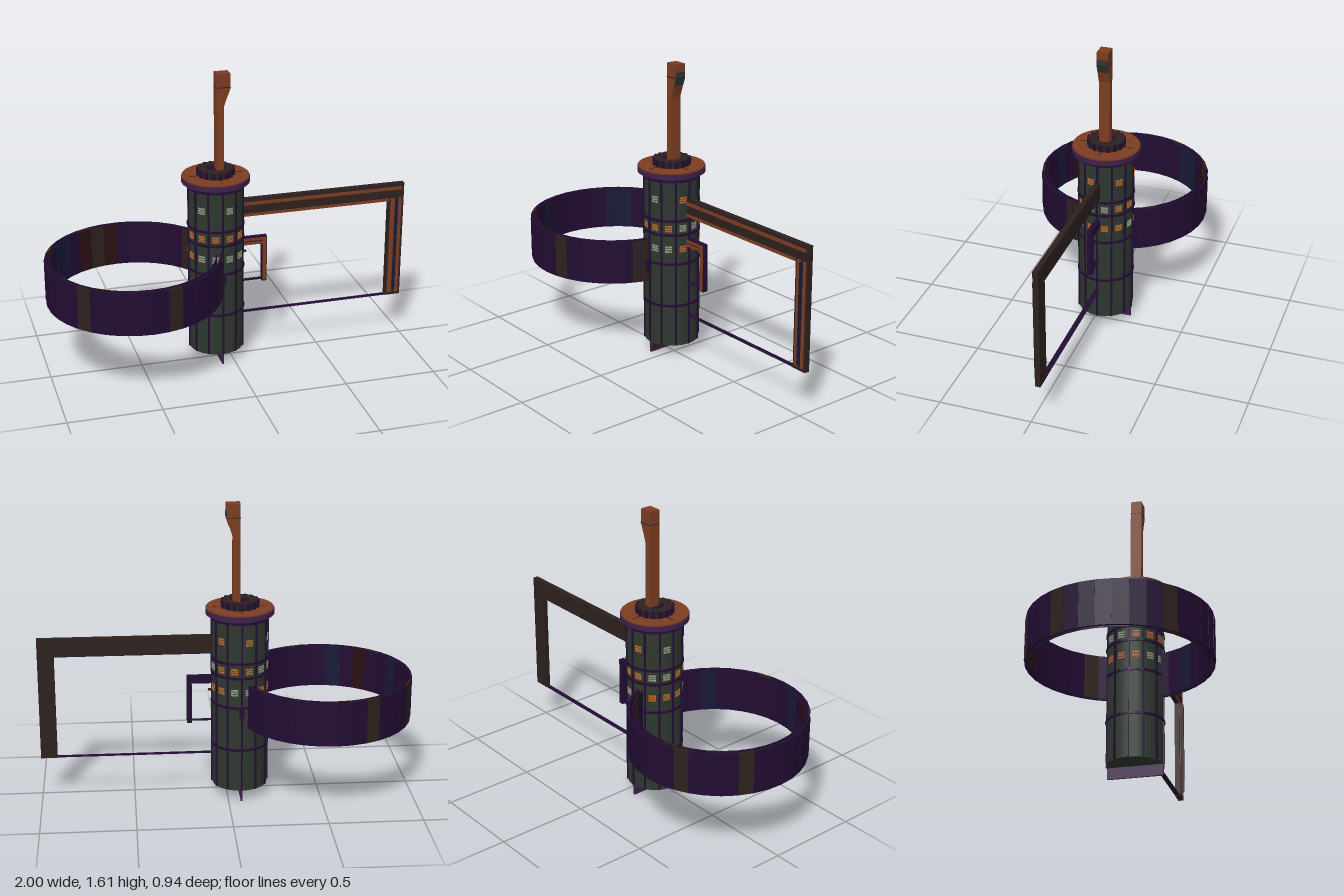
import * as THREE from 'three';

const mat = (name, color) => {
  const m = new THREE.MeshStandardMaterial({ color });
  m.name = name;
  return m;
};

export function createModel() {
  const M = {
    green: mat('hull green', 0x2d372e),
    purple: mat('dark purple', 0x220c32),
    violet: mat('violet', 0x40204c),
    rust: mat('rust orange', 0x7b3c20),
    brown: mat('dark brown', 0x2d211e),
    navy: mat('navy', 0x181a38),
    maroon: mat('maroon', 0x2a0f12),
    cream: mat('pale window', 0x8c977c),
    amber: mat('amber window', 0xb5652c),
  };
  const root = new THREE.Group();
  root.name = 'station';
  const CX = -0.07, CZ = -0.04, R = 0.148;

  const add = (name, geo, m, parent = root, x = 0, y = 0, z = 0) => {
    const mesh = new THREE.Mesh(geo, m);
    mesh.name = name;
    mesh.position.set(x, y, z);
    parent.add(mesh);
    return mesh;
  };
  const group = (name, x = 0, y = 0, z = 0, parent = root) => {
    const g = new THREE.Group();
    g.name = name;
    g.position.set(x, y, z);
    parent.add(g);
    return g;
  };
  // Box given by its extents
  const slab = (name, m, parent, x0, x1, y0, y1, z0, z1) =>
    add(name, new THREE.BoxGeometry(x1 - x0, y1 - y0, z1 - z0), m, parent,
      (x0 + x1) / 2, (y0 + y1) / 2, (z0 + z1) / 2);
  // Tube wall with a rectangular section
  const wall = (r0, r1, y0, y1, seg, start = 0, len = Math.PI * 2) => {
    const p = [[r1, y0], [r1, y1], [r0, y1], [r0, y0], [r1, y0]].map(a => new THREE.Vector2(...a));
    const g = new THREE.LatheGeometry(p, seg, start, len).toNonIndexed();
    g.computeVertexNormals();
    return g;
  };

  // Central tower
  const tower = group('tower', CX, 0, CZ);
  add('towerHull', new THREE.CylinderGeometry(R, R, 0.96, 24), M.green, tower, 0, 0.54, 0);
  for (let i = 0; i < 12; i++) {
    const a = i * Math.PI / 6;
    const rib = add('towerRib', new THREE.BoxGeometry(0.009, 0.955, 0.012), M.purple, tower,
      Math.sin(a) * R, 0.54, Math.cos(a) * R);
    rib.rotation.y = a;
  }
  for (const y of [0.295, 0.535, 0.7, 0.78, 1.0])
    add('towerBand', wall(R - 0.005, R + 0.007, y - 0.006, y + 0.006, 24), M.purple, tower);

  // Slatted windows, three slats each, between the ribs
  const windowRows = [
    [0.895, 'c-a-a-a-c-c-'],
    [0.737, 'aaccaaaccaaa'],
    [0.62, 'ccaaaccaaacc'],
  ];
  for (const [y, pattern] of windowRows)
    for (let i = 0; i < 12; i++) {
      if (pattern[i] === '-') continue;
      const a = (i + 0.5) * Math.PI / 6;
      const win = group('window', Math.sin(a) * R, y, Math.cos(a) * R, tower);
      win.rotation.y = a;
      for (const dy of [-0.013, 0, 0.013])
        add('windowSlat', new THREE.BoxGeometry(0.038, 0.008, 0.006),
          pattern[i] === 'a' ? M.amber : M.cream, win, 0, dy, 0);
    }

  // Top flange with rust deck and toothed collar
  add('flange', new THREE.CylinderGeometry(0.182, 0.182, 0.028, 40), M.violet, tower, 0, 1.034, 0);
  add('flangeDeck', new THREE.CylinderGeometry(0.179, 0.179, 0.008, 40), M.rust, tower, 0, 1.05, 0);
  for (let i = 0; i < 4; i++) {
    const a = i * Math.PI / 2;
    const seam = add('deckSeam', new THREE.BoxGeometry(0.004, 0.006, 0.05), M.brown, tower,
      Math.sin(a) * 0.12, 1.053, Math.cos(a) * 0.12);
    seam.rotation.y = a;
  }
  add('collar', wall(0.05, 0.095, 1.05, 1.092, 24), M.brown, tower);
  add('collarCore', new THREE.CylinderGeometry(0.052, 0.052, 0.03, 24), M.purple, tower, 0, 1.067, 0);
  for (let i = 0; i < 16; i++) {
    const a = i * Math.PI / 8;
    const tooth = add('collarTooth', new THREE.BoxGeometry(0.018, 0.036, 0.014), M.purple, tower,
      Math.sin(a) * 0.095, 1.074, Math.cos(a) * 0.095);
    tooth.rotation.y = a;
  }

  // Mast with a flared head
  const outline = new THREE.Shape([[-0.07, 1.06], [-0.032, 1.06], [-0.032, 1.43], [0.003, 1.535],
    [0.003, 1.61], [-0.07, 1.61]].map(a => new THREE.Vector2(...a)));
  add('mast', new THREE.ExtrudeGeometry(outline, { depth: 0.06, bevelEnabled: false }), M.rust, root, 0, 0, CZ - 0.03);
  slab('mastHeadPanel', M.green, root, 0.001, 0.005, 1.538, 1.568, CZ - 0.03, CZ + 0.03);
  const chin = add('mastChinPanel', new THREE.BoxGeometry(0.004, 0.042, 0.06), M.green, root, -0.0037, 1.515, CZ);
  chin.rotation.z = -Math.atan2(0.035, 0.105);
  slab('mastHeadSeam', M.navy, root, -0.071, 0.005, 1.534, 1.538, CZ - 0.031, CZ + 0.031);

  // Keel fin under the tower
  slab('keel', M.violet, root, CX - 0.005, CX + 0.005, 0, 0.065, -0.187, 0.108);
  slab('keelPanel', M.brown, root, CX + 0.004, CX + 0.007, 0.012, 0.055, -0.035, 0.1);

  // Panelled habitat ring: outer wall, open gap, thin inner wall
  const ring = group('habitatRing', -0.531, 0, 0);
  const N = 36, step = Math.PI * 2 / N;
  const outerColours = { 1: 'brown', 20: 'brown', 24: 'brown', 31: 'brown' };
  const innerColours = { 5: 'navy', 12: 'brown', 18: 'maroon', 19: 'brown', 20: 'maroon', 22: 'navy',
    23: 'navy', 29: 'navy', 32: 'maroon', 34: 'navy' };
  for (let i = 0; i < N; i++) {
    const a = i * step;
    add('ringOuterPanel', wall(0.456, 0.469, 0.42, 0.657, 1, a, step), M[outerColours[i] || 'purple'], ring);
    add('ringInnerPanel', wall(0.437, 0.443, 0.42, 0.657, 1, a, step), M[innerColours[i] || 'purple'], ring);
    const seam = add('ringSeam', new THREE.BoxGeometry(0.002, 0.225, 0.004), M.purple, ring,
      Math.sin(a) * 0.469, 0.539, Math.cos(a) * 0.469);
    seam.rotation.y = a;
  }
  // Dark plate where the ring meets the tower
  add('ringEndPlate', wall(0.463, 0.471, 0.421, 0.656, 2, 65 * Math.PI / 180, 15 * Math.PI / 180), M.brown, ring);

  // Clamps holding the ring to the tower
  for (const s of [-1, 1])
    slab('ringClamp', M.purple, root, -0.08, -0.058, 0.485, 0.54,
      CZ + s * 0.16 - 0.012, CZ + s * 0.16 + 0.012);

  // Long arm: beam, hanging post and thin lower strip
  const arm = group('longArm');
  const zb = -0.055, zf = -0.026, zp = zf + 0.004;
  slab('armBeam', M.brown, arm, 0.06, 1, 0.803, 0.9, zb, zf);
  slab('armUnderside', M.navy, arm, 0.07, 0.91, 0.799, 0.804, zb + 0.002, zf - 0.002);
  slab('armUpperStripe', M.rust, arm, 0.075, 0.985, 0.863, 0.881, zf - 0.002, zp);
  slab('armLowerStripe', M.rust, arm, 0.075, 0.912, 0.8, 0.815, zf - 0.002, zp);
  slab('armPost', M.brown, arm, 0.912, 1, 0.228, 0.81, zb, zf);
  slab('postStripe', M.rust, arm, 0.923, 0.948, 0.245, 0.815, zf - 0.002, zp);
  slab('postStripe', M.rust, arm, 0.967, 0.987, 0.245, 0.815, zf - 0.002, zp);
  slab('postRod', M.navy, arm, 0.953, 0.963, 0.265, 0.81, zf - 0.002, -0.01);
  slab('armLowerStrip', M.purple, arm, 0.06, 0.915, 0.23, 0.231, zb, zf);

  // Small bracket of the same build
  const bracket = group('smallBracket');
  slab('bracketBeam', M.purple, bracket, 0.06, 0.214, 0.632, 0.674, zb, zf);
  slab('bracketPost', M.purple, bracket, 0.187, 0.214, 0.408, 0.64, zb, zf);
  slab('bracketStripe', M.rust, bracket, 0.075, 0.21, 0.654, 0.669, zf - 0.002, zp);
  slab('bracketStripe', M.rust, bracket, 0.075, 0.19, 0.632, 0.647, zf - 0.002, zp);
  slab('bracketPostStripe', M.rust, bracket, 0.19, 0.21, 0.415, 0.655, zf - 0.002, zp);
  slab('bracketLowerStrip', M.purple, bracket, 0.06, 0.19, 0.42, 0.421, zb, zf);
  slab('bracketKnob', M.brown, bracket, 0.07, 0.1, 0.588, 0.597, -0.046, -0.036);

  return root;
}
